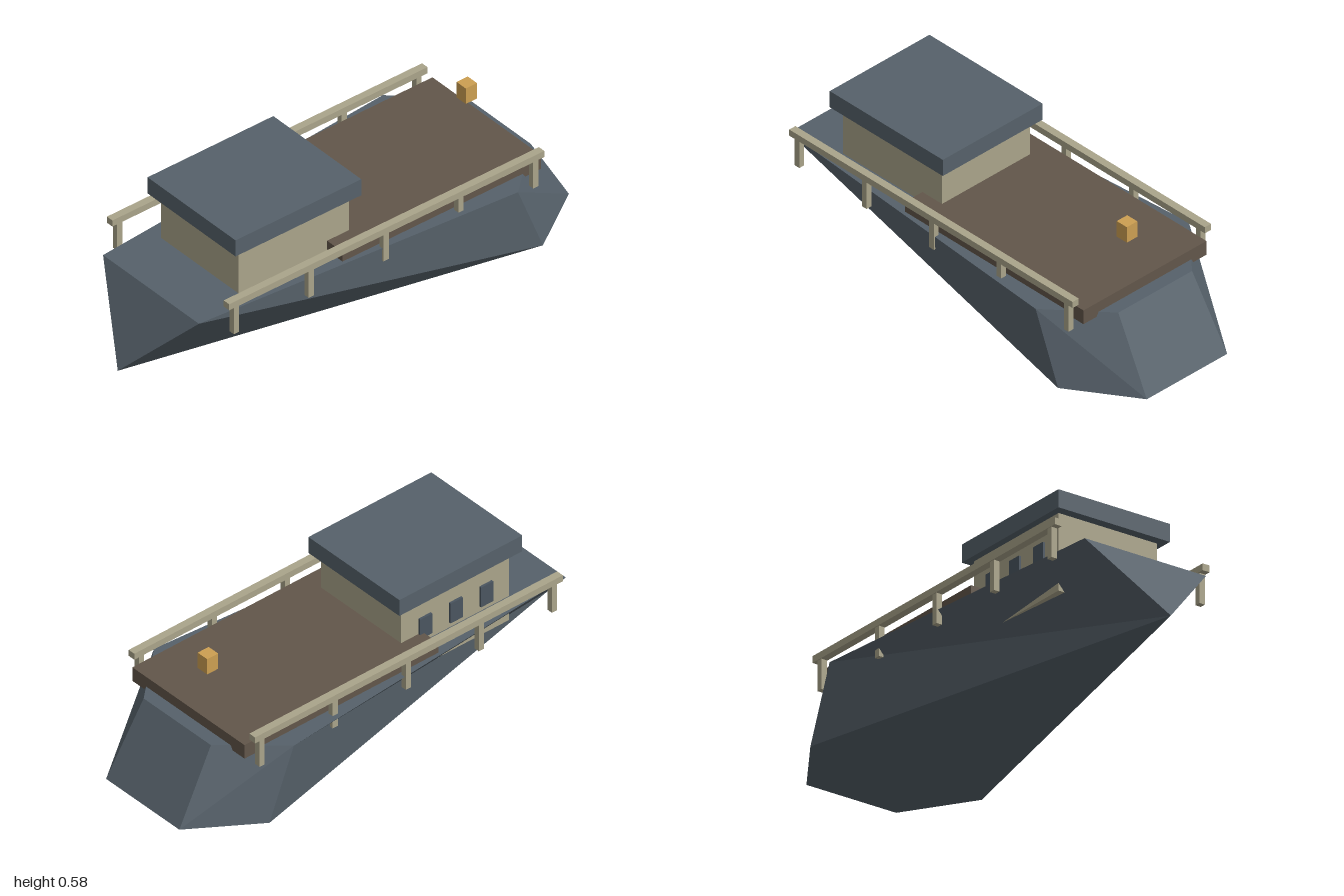
import * as THREE from 'three';

const material = (name, color) => {
  const m = new THREE.MeshStandardMaterial({ color });
  m.name = name;
  return m;
};

// Box given by its lower and upper bounds on each axis
function box(name, mat, [x0, x1], [y0, y1], [z0, z1]) {
  const mesh = new THREE.Mesh(new THREE.BoxGeometry(x1 - x0, y1 - y0, z1 - z0), mat);
  mesh.position.set((x0 + x1) / 2, (y0 + y1) / 2, (z0 + z1) / 2);
  mesh.name = name;
  return mesh;
}

// Faceted hull: each triangle is turned to face away from the hull's middle
function hullGeometry() {
  const v = (x, y, z) => new THREE.Vector3(x, y, z);
  const side = (s) => ({
    bow: v(-0.84, 0.3, 0.28 * s), beam: v(0.6, 0.3, 0.395 * s), stern: v(0.83, 0.3, 0.19 * s),
    lowBeam: v(0.72, 0, 0.395 * s), lowStern: v(1, 0, 0.207 * s),
  });
  const tip = v(-1, 0, 0), f = side(1), b = side(-1);
  const middle = v(0, 0.15, 0), points = [];
  const fan = (...c) => {
    for (let i = 1; i < c.length - 1; i++) {
      const t = [c[0], c[i], c[i + 1]];
      const n = t[1].clone().sub(t[0]).cross(t[2].clone().sub(t[0]));
      if (n.dot(t[0].clone().sub(middle)) < 0) t.reverse();
      points.push(...t);
    }
  };
  fan(f.bow, f.beam, f.stern, b.stern, b.beam, b.bow); // top
  fan(tip, f.lowBeam, f.lowStern, b.lowStern, b.lowBeam); // bottom
  fan(tip, f.bow, b.bow); // raked bow
  fan(f.stern, f.lowStern, b.lowStern, b.stern); // transom
  for (const s of [f, b]) fan(s.beam, s.lowBeam, s.lowStern, s.stern); // stern corners
  fan(f.bow, f.beam, f.lowBeam, tip); // front flank
  fan(b.beam, b.lowBeam, tip, b.bow); // back flank
  const g = new THREE.BufferGeometry().setFromPoints(points);
  g.computeVertexNormals();
  return g;
}

export function createModel() {
  const slate = material('slate', 0x56616a);
  const khaki = material('khaki', 0xaaa48a);
  const brown = material('deck brown', 0x62564a);
  const amber = material('amber', 0xcc9f52);
  const glass = material('dark glass', 0x4a5560);

  const boat = new THREE.Group();
  boat.name = 'boat';

  const hull = new THREE.Mesh(hullGeometry(), slate);
  hull.name = 'hull';
  boat.add(hull);

  // Deck, cabin and lantern
  boat.add(
    box('deck', brown, [-0.18, 0.775], [0.282, 0.345], [-0.317, 0.317]),
    box('cabin', khaki, [-0.605, -0.075], [0.188, 0.506], [-0.227, 0.227]),
    box('cabinRoof', slate, [-0.645, -0.04], [0.506, 0.58], [-0.257, 0.257]),
    box('lantern', amber, [0.652, 0.706], [0.474, 0.545], [-0.027, 0.027]),
  );

  // Windows along the back wall of the cabin
  for (const x of [-0.49, -0.34, -0.19])
    boat.add(box('window', glass, [x - 0.03, x + 0.03], [0.325, 0.417], [-0.237, -0.2271]));

  // Railings on both sides
  for (const s of [-1, 1]) {
    const railing = new THREE.Group();
    railing.name = s > 0 ? 'frontRailing' : 'backRailing';
    railing.add(box('rail', khaki, [-0.758, 0.758], [0.367, 0.395], [-0.016, 0.016]));
    for (let i = -2; i <= 2; i++)
      railing.add(box('railPost', khaki, [i * 0.36 - 0.0125, i * 0.36 + 0.0125], [0.243, 0.367], [-0.0125, 0.0125]));
    railing.position.z = 0.341 * s;
    boat.add(railing);
  }
  return boat;
}
